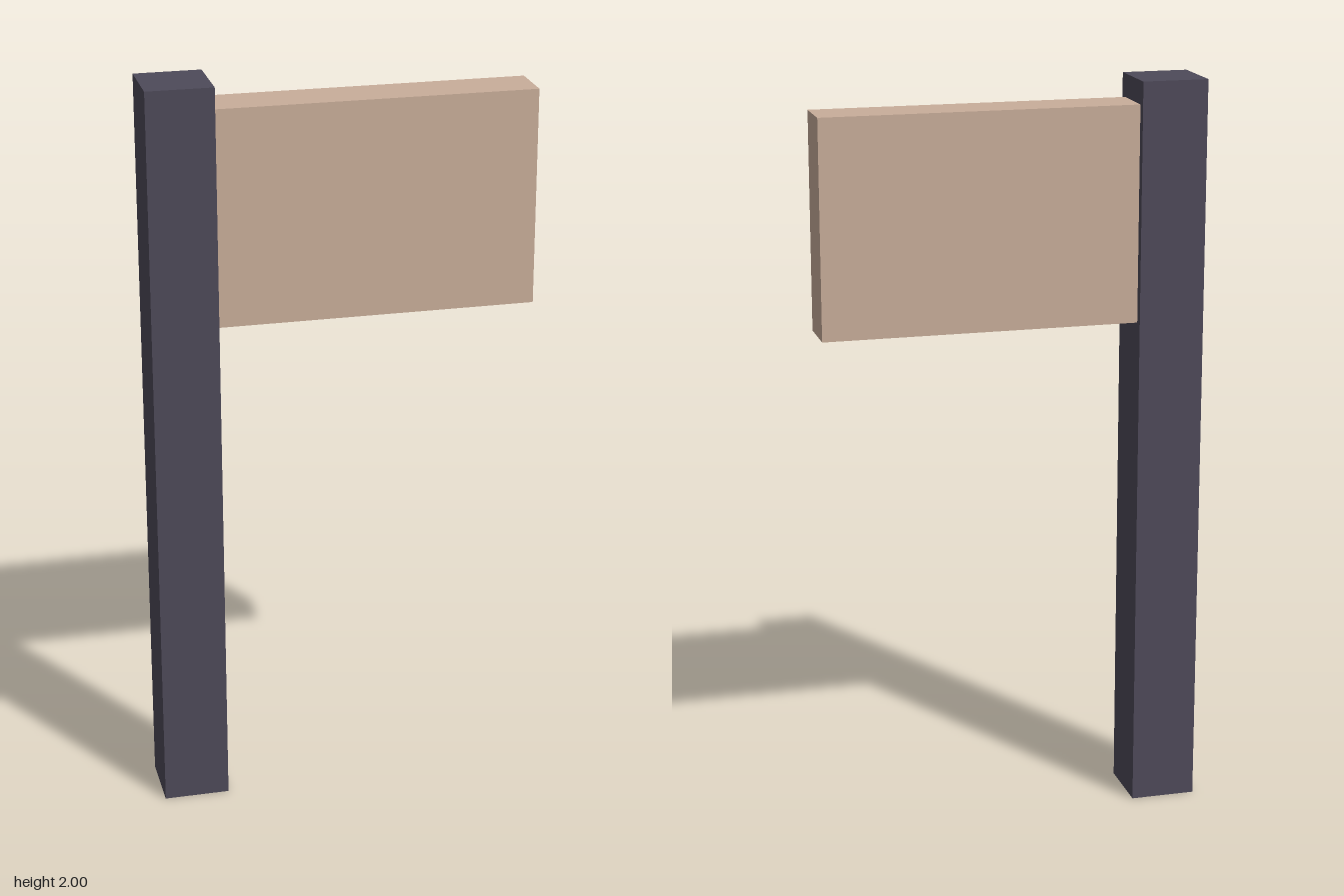
import * as THREE from 'three';

const darkPaint = new THREE.MeshStandardMaterial({ name: 'dark post paint', color: 0x4e4a59 });
const paleWood = new THREE.MeshStandardMaterial({ name: 'pale wood', color: 0xc9ae9a });

// Box given by its minimum and maximum corners
function box(name, material, [x0, y0, z0], [x1, y1, z1]) {
  const mesh = new THREE.Mesh(new THREE.BoxGeometry(x1 - x0, y1 - y0, z1 - z0), material);
  mesh.position.set((x0 + x1) / 2, (y0 + y1) / 2, (z0 + z1) / 2);
  mesh.name = name;
  return mesh;
}

export function createModel() {
  const model = new THREE.Group();
  model.name = 'signpost';

  // Square upright post
  model.add(box('post', darkPaint, [-0.511, 0, -0.089], [-0.335, 2, 0.089]));

  // Sign board fixed to one side of the post
  model.add(box('signBoard', paleWood, [-0.335, 1.36, -0.067], [0.511, 1.938, 0.067]));

  return model;
}
